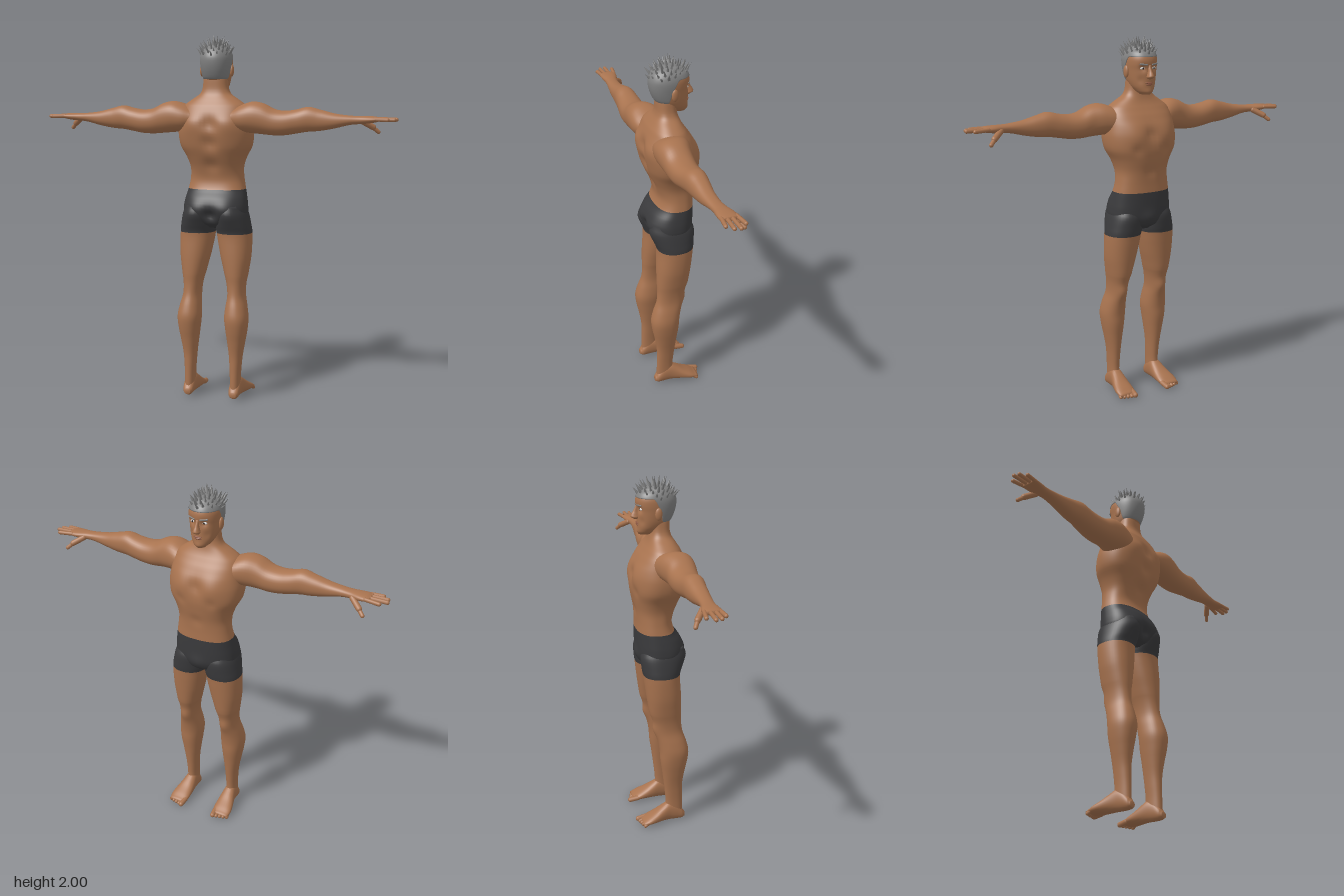
import * as THREE from 'three';

const paint = (name, color) => Object.assign(new THREE.MeshStandardMaterial({ color }), { name });
const V = (x, y, z) => new THREE.Vector3(x, y, z);

// Smoothly interpolated cross-section [t, aLow, aHigh, bLow, bHigh] at position t
function ringAt(rings, t) {
  let k = 0;
  while (k < rings.length - 2 && t > rings[k + 1][0]) k++;
  const p1 = rings[k], p2 = rings[k + 1];
  const p0 = rings[Math.max(k - 1, 0)], p3 = rings[Math.min(k + 2, rings.length - 1)];
  const u = (t - p1[0]) / (p2[0] - p1[0]);
  return p1.map((b, i) => i === 0 ? t : b + 0.5 * u * (p2[i] - p0[i]
    + u * (2 * p0[i] - 5 * b + 4 * p2[i] - p3[i] + u * (3 * (b - p2[i]) + p3[i] - p0[i]))));
}

// Point on a rounded cross-section; axis is the index of the direction the rings run along
function ringPoint(r, angle, axis, power, size = 1) {
  const bend = v => Math.sign(v) * Math.abs(v) ** power;
  const p = [0, 0, 0];
  p[axis] = r[0];
  p[(axis + 1) % 3] = (r[1] + r[2]) / 2 + size * (r[2] - r[1]) / 2 * bend(Math.cos(angle));
  p[(axis + 2) % 3] = (r[3] + r[4]) / 2 + size * (r[4] - r[3]) / 2 * bend(Math.sin(angle));
  return p;
}

// Closed-round surface from a point rule
function grid(rows, segs, point) {
  const pos = [], index = [];
  for (let i = 0; i <= rows; i++)
    for (let j = 0; j < segs; j++) {
      pos.push(...point(i, j / segs * Math.PI * 2));
      if (i === rows) continue;
      const a = i * segs + j, b = i * segs + (j + 1) % segs;
      index.push(a, b, a + segs, b, b + segs, a + segs);
    }
  const g = new THREE.BufferGeometry();
  g.setAttribute('position', new THREE.Float32BufferAttribute(pos, 3));
  g.setIndex(index);
  g.computeVertexNormals();
  return g;
}

// Loft through rings with capped ends; bumps [|x|, y, z, radius, dz] push the surface along z
function loft(axis, rings, { power = 0.9, segs = 40, sub = 4, bumps = [], cut } = {}) {
  const ts = [rings[0][0]];
  for (let k = 0; k < rings.length - 1; k++)
    for (let s = 0; s <= sub; s++)
      if (k === 0 || s > 0) ts.push(THREE.MathUtils.lerp(rings[k][0], rings[k + 1][0], s / sub));
  ts.push(ts[ts.length - 1]);
  const last = ts.length - 1;
  const g = grid(last, segs, (i, angle) => {
    const p = ringPoint(ringAt(rings, ts[i]), angle, axis, power, i === 0 || i === last ? 0.001 : 1);
    let dz = 0;
    for (const [x, y, z, r, d] of bumps)
      dz += d * Math.exp(-((Math.abs(p[0]) - x) ** 2 + (p[1] - y) ** 2 + (p[2] - z) ** 2) / (r * r));
    p[2] += dz;
    return p;
  });
  if (cut) {
    const split = (1 + sub * cut) * segs * 6;
    g.addGroup(0, split, 0);
    g.addGroup(split, g.index.count - split, 1);
  }
  return g;
}

function mirrored(geo) {
  const g = geo.clone().scale(-1, 1, 1), ix = g.index;
  for (let i = 0; i < ix.count; i += 3) {
    const b = ix.getX(i + 1);
    ix.setX(i + 1, ix.getX(i + 2));
    ix.setX(i + 2, b);
  }
  return g;
}

// Rounded rod between two points
function rod(a, b, r) {
  const d = b.clone().sub(a), g = new THREE.CapsuleGeometry(r, d.length(), 5, 10);
  g.applyQuaternion(new THREE.Quaternion().setFromUnitVectors(V(0, 1, 0), d.normalize()));
  const m = a.clone().add(b).multiplyScalar(0.5);
  return g.translate(m.x, m.y, m.z);
}

const blob = (x, y, z, rx, ry, rz) =>
  new THREE.SphereGeometry(1, 20, 14).scale(rx, ry, rz).translate(x, y, z);

export function createModel() {
  const model = new THREE.Group();
  const skin = paint('skin', 0xa8734f), hair = paint('hair', 0x808080), cloth = paint('shorts', 0x3a3a3c);
  const lip = paint('lips', 0x8c5843), white = paint('eyeWhite', 0xd5d5d5), dark = paint('iris', 0x30251f);
  const add = (name, geo, mat) => {
    const m = new THREE.Mesh(geo, mat);
    m.name = name;
    model.add(m);
  };
  const pair = (name, geo, mat) => {
    add(name + 'Left', geo, mat);
    add(name + 'Right', mirrored(geo), mat);
  };

  // Trunk from crotch to neck (face and chest look to -z), shorts below the waist
  const trunk = [
    [0.955, -0.07, 0.07, 0.05], [0.98, -0.1, 0.105, 0.11], [1.02, -0.113, 0.128, 0.172],
    [1.065, -0.118, 0.136, 0.178], [1.12, -0.12, 0.118, 0.17], [1.165, -0.12, 0.086, 0.16],
    [1.22, -0.12, 0.073, 0.15], [1.28, -0.125, 0.088, 0.147], [1.34, -0.136, 0.113, 0.165],
    [1.4, -0.144, 0.136, 0.197], [1.47, -0.138, 0.148, 0.207], [1.53, -0.125, 0.148, 0.2],
    [1.58, -0.1, 0.13, 0.19], [1.62, -0.073, 0.112, 0.172], [1.65, -0.055, 0.092, 0.132],
    [1.68, -0.045, 0.074, 0.088], [1.71, -0.04, 0.066, 0.072], [1.76, -0.042, 0.064, 0.066],
    [1.8, -0.045, 0.06, 0.06],
  ].map(([y, f, b, w]) => [y, f, b, -w, w]);
  add('trunk', loft(1, trunk, {
    power: 0.82, segs: 72, cut: 5, bumps: [
      [0.09, 1.48, -0.13, 0.065, -0.013], [0, 1.48, -0.14, 0.03, 0.01], [0.09, 1.4, -0.14, 0.028, 0.008],
      [0, 1.28, -0.12, 0.03, 0.006], [0, 1.52, 0.15, 0.04, -0.02], [0, 1.42, 0.14, 0.04, -0.02],
      [0, 1.3, 0.09, 0.04, -0.012], [0.11, 1.52, 0.14, 0.06, 0.008], [0, 1.03, 0.13, 0.03, -0.028],
      [0.085, 1.06, 0.12, 0.05, 0.008], [0, 1.02, -0.115, 0.04, -0.012]],
  }), [cloth, skin]);

  // Legs, with the shorts covering the top of the thigh
  pair('leg', loft(1, [
    [0.04, 0.015, 0.12, 0.103, 0.16], [0.12, 0.022, 0.118, 0.103, 0.16], [0.18, 0.018, 0.117, 0.1, 0.163],
    [0.25, 0.01, 0.118, 0.095, 0.17], [0.33, 0, 0.13, 0.085, 0.184], [0.4, -0.01, 0.144, 0.076, 0.196],
    [0.46, -0.014, 0.149, 0.07, 0.2], [0.52, -0.025, 0.135, 0.074, 0.19], [0.58, -0.042, 0.115, 0.08, 0.176],
    [0.64, -0.05, 0.108, 0.074, 0.176], [0.7, -0.07, 0.109, 0.058, 0.186], [0.8, -0.085, 0.107, 0.032, 0.2],
    [0.925, -0.1, 0.102, 0.008, 0.202], [0.97, -0.107, 0.116, 0.001, 0.195],
    [1.03, -0.11, 0.128, 0, 0.182], [1.08, -0.09, 0.12, 0.01, 0.165],
  ], { cut: 12, bumps: [[0.125, 0.6, -0.045, 0.035, -0.008], [0.095, 1.03, 0.12, 0.05, 0.012]] }), [skin, cloth]);

  // Feet and toes
  pair('foot', loft(2, [
    [-0.12, 0.098, 0.192, 0.008, 0.03], [-0.08, 0.088, 0.197, 0.006, 0.052], [-0.04, 0.088, 0.19, 0.006, 0.074],
    [0, 0.091, 0.178, 0.006, 0.1], [0.04, 0.096, 0.168, 0.006, 0.122], [0.08, 0.1, 0.164, 0.005, 0.11],
    [0.115, 0.104, 0.16, 0.007, 0.07], [0.132, 0.115, 0.15, 0.015, 0.045],
  ], { segs: 28 }), skin);
  for (let i = 0; i < 5; i++) {
    const x = 0.107 + i * 0.02, r = i ? 0.0105 : 0.015, tip = -0.135 + 0.006 * i;
    pair('toe' + (i + 1), rod(V(x - 0.004, 0.024, -0.09), V(x, r, tip), r), skin);
  }

  // Arms from shoulder to knuckles
  pair('arm', loft(0, [
    [0.1, 1.5, 1.6, -0.04, 0.125], [0.16, 1.48, 1.626, -0.055, 0.14], [0.22, 1.475, 1.643, -0.042, 0.144],
    [0.28, 1.47, 1.633, -0.025, 0.14], [0.34, 1.465, 1.604, -0.02, 0.135], [0.4, 1.467, 1.596, -0.015, 0.13],
    [0.46, 1.477, 1.604, -0.01, 0.121], [0.52, 1.487, 1.617, -0.002, 0.115], [0.58, 1.492, 1.604, 0.005, 0.107],
    [0.66, 1.506, 1.584, 0.016, 0.1], [0.74, 1.525, 1.574, 0.02, 0.09], [0.79, 1.53, 1.572, 0.014, 0.086],
    [0.83, 1.533, 1.572, 0.002, 0.09], [0.87, 1.539, 1.57, -0.003, 0.092], [0.89, 1.544, 1.565, 0, 0.089],
  ], { segs: 36 }), skin);

  // Fingers and thumb
  [[0.945, 0.006, -0.006], [0.975, 0.032, 0.03], [0.968, 0.057, 0.06], [0.937, 0.08, 0.088]].forEach(([tip, z0, z1], i) =>
    pair('finger' + (i + 1), rod(V(0.87, 1.556, z0), V(tip, 1.554, z1), 0.0105), skin));
  pair('thumbBase', rod(V(0.8, 1.543, 0.02), V(0.85, 1.512, -0.018), 0.016), skin);
  pair('thumbTip', rod(V(0.85, 1.51, -0.018), V(0.876, 1.487, -0.035), 0.011), skin);

  // Head
  const skull = [
    [1.69, -0.095, -0.03, 0.025], [1.705, -0.104, 0, 0.043], [1.73, -0.105, 0.035, 0.06],
    [1.76, -0.106, 0.068, 0.071], [1.79, -0.106, 0.084, 0.077], [1.82, -0.107, 0.094, 0.081],
    [1.85, -0.112, 0.099, 0.084], [1.88, -0.11, 0.098, 0.083], [1.91, -0.095, 0.083, 0.072],
    [1.933, -0.062, 0.053, 0.048], [1.943, -0.025, 0.02, 0.018],
  ].map(([y, f, b, w]) => [y, f, b, -w, w]);
  add('head', loft(1, skull, {
    segs: 72, bumps: [[0.033, 1.828, -0.1, 0.018, 0.012], [0, 1.7, -0.1, 0.02, -0.004], [0.045, 1.765, -0.09, 0.02, 0.005]],
  }), skin);
  add('nose', loft(1, [
    [1.772, -0.122, -0.09, -0.012, 0.012], [1.782, -0.138, -0.09, -0.019, 0.019],
    [1.792, -0.139, -0.09, -0.016, 0.016], [1.812, -0.127, -0.09, -0.01, 0.01], [1.845, -0.112, -0.09, -0.008, 0.008],
  ], { segs: 20 }), skin);
  add('upperLip', blob(0, 1.752, -0.103, 0.024, 0.005, 0.009), lip);
  add('lowerLip', blob(0, 1.743, -0.102, 0.02, 0.006, 0.009), lip);
  pair('ear', blob(0.085, 1.808, -0.002, 0.011, 0.033, 0.019).rotateY(0.08), skin);
  pair('eye', blob(0.033, 1.828, -0.09, 0.014, 0.007, 0.009), white);
  pair('iris', blob(0.033, 1.828, -0.097, 0.005, 0.006, 0.003), dark);
  pair('eyebrow', rod(V(0.017, 1.847, -0.109), V(0.05, 1.85, -0.096), 0.0045), hair);

  // Scalp hair, from a hairline that drops behind the ears to the nape
  const hairline = c => 1.762 + 0.125 * (1 - THREE.MathUtils.smoothstep(c, -0.25, 0.4));
  add('scalpHair', grid(17, 72, (i, angle) => {
    const y0 = hairline(Math.cos(angle)), y = y0 + (1.943 - y0) * Math.max(i - 1, 0) / 15;
    const p = ringPoint(ringAt(skull, Math.min(y, 1.943)), angle, 1, 0.9, i === 0 ? 0.97 : i === 17 ? 0.001 : 1.035);
    p[1] += i > 12 ? 0.003 : 0;
    return p;
  }), hair);

  // Spikes fanned over the crown
  const spikes = new THREE.Group();
  spikes.name = 'hairSpikes';
  const count = 64;
  for (let i = 0; i < count; i++) {
    const h = 0.3 + 0.69 * (i + 0.5) / count, a = i * 2.39996, s = Math.sqrt(1 - h * h);
    const d = V(s * Math.sin(a), h, s * Math.cos(a));
    const base = V(d.x * 0.078, 1.85 + d.y * 0.088, d.z * 0.096 - 0.006);
    if (base.y < hairline(Math.cos(a)) + 0.006) continue;
    const length = 0.058 + 0.012 * Math.sin(i * 5.3);
    const spike = new THREE.Mesh(new THREE.ConeGeometry(0.0125, length, 6).translate(0, length / 2 - 0.008, 0), hair);
    spike.position.copy(base);
    spike.quaternion.setFromUnitVectors(V(0, 1, 0), V(d.x * 0.7, d.y * 0.7 + 0.4, d.z * 0.7).normalize());
    spike.name = 'spike';
    spikes.add(spike);
  }
  model.add(spikes);
  return model;
}
